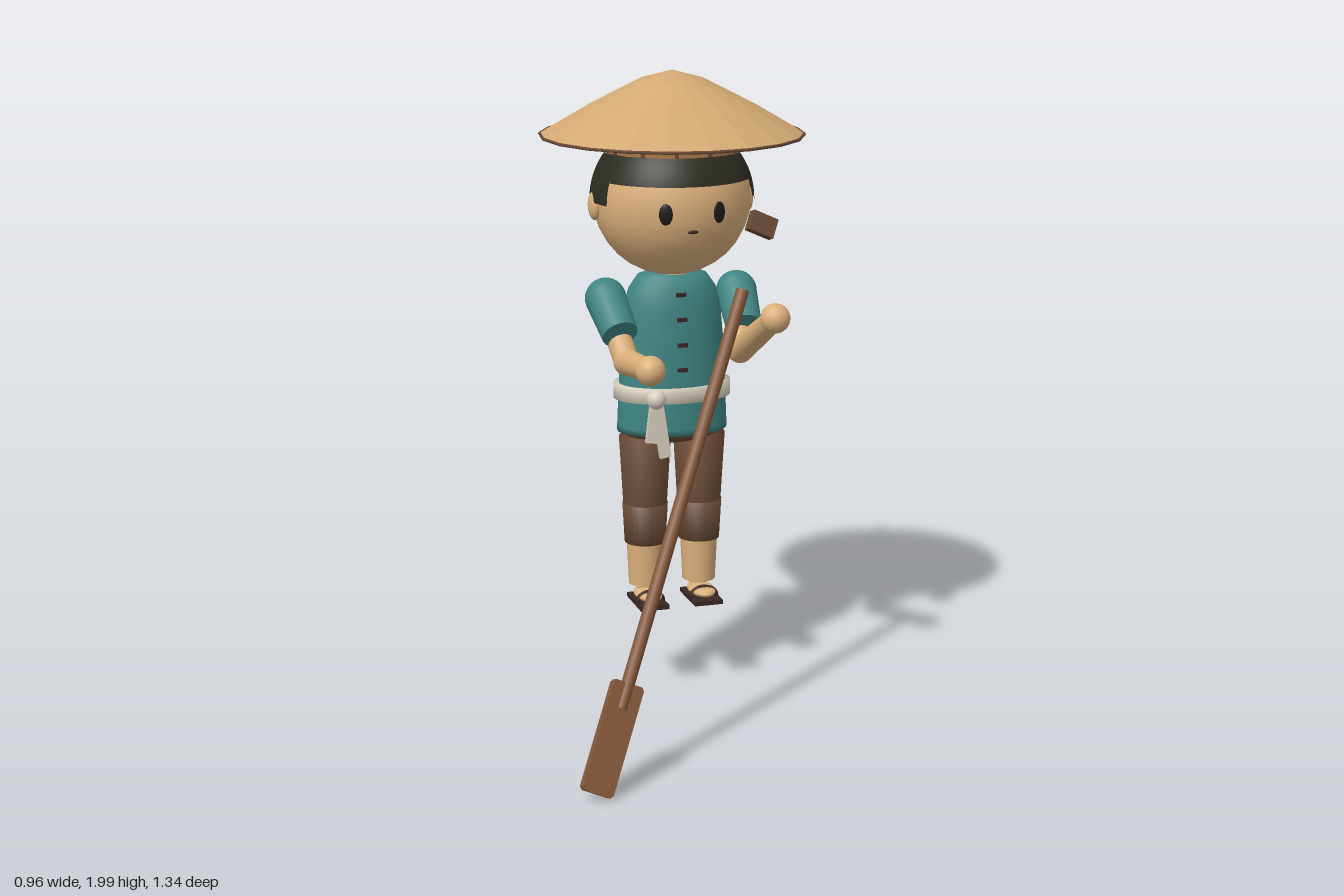
import * as THREE from 'three';

const V = (x, y, z) => new THREE.Vector3(x, y, z);

export function createModel() {
  const mat = (name, color, extra = {}) => {
    const m = new THREE.MeshStandardMaterial({ color, ...extra });
    m.name = name;
    return m;
  };
  const straw = mat('straw', 0xd2a873);
  const skin = mat('skin', 0xdcb07c);
  const teal = mat('tealCloth', 0x3f8583);
  const brown = mat('brownCloth', 0x6b4a36);
  const hairMat = mat('hair', 0x2c2b21, { side: THREE.DoubleSide });
  const cream = mat('creamSash', 0xd9d0bf);
  const wood = mat('wood', 0x85583a);
  const dark = mat('darkLeather', 0x3a2722);
  const bandMat = mat('hatBand', 0xa87848, { side: THREE.DoubleSide });
  const black = mat('black', 0x1c1a18);

  const model = new THREE.Group();
  // The figure stands off the origin; its parts use local x and z.
  const figure = new THREE.Group();
  figure.name = 'figure';
  figure.position.set(0.074, 0, -0.254);
  model.add(figure);

  const add = (name, geo, material, pos = [0, 0, 0], parent = figure) => {
    const m = new THREE.Mesh(geo, material);
    m.name = name;
    m.position.set(...pos);
    parent.add(m);
    return m;
  };
  const ball = (name, material, pos, rx, ry = rx, rz = rx) => {
    const m = add(name, new THREE.SphereGeometry(1, 24, 16), material, pos);
    m.scale.set(rx, ry, rz);
    return m;
  };
  const lathe = (pts, seg = 32) =>
    new THREE.LatheGeometry(pts.map(([r, y]) => new THREE.Vector2(r, y)), seg);
  const limb = (name, material, a, b, ra, rb) => {
    const d = b.clone().sub(a);
    const m = add(name, new THREE.CylinderGeometry(rb, ra, d.length(), 20), material,
      a.clone().add(b).multiplyScalar(0.5).toArray());
    m.quaternion.setFromUnitVectors(V(0, 1, 0), d.normalize());
    return m;
  };

  // Conical hat with faceted panels
  const hat = lathe([[0, 1.965], [0.27, 1.873], [0.405, 1.797], [0.414, 1.801],
    [0.275, 1.883], [0.1, 1.973], [0, 2]], 20).toNonIndexed();
  hat.computeVertexNormals();
  add('hat', hat, straw);
  const rim = add('hatRim', new THREE.TorusGeometry(0.411, 0.005, 6, 20), brown, [0, 1.801, 0]);
  rim.rotation.x = Math.PI / 2;
  add('hatBand', new THREE.CylinderGeometry(0.233, 0.233, 0.105, 28, 1, true), bandMat, [0, 1.81, 0]);
  for (let i = 0; i < 14; i++) {
    const a = (i + 0.5) / 14 * Math.PI * 2;
    const rib = add('hatBandRib', new THREE.BoxGeometry(0.012, 0.105, 0.01), brown,
      [Math.sin(a) * 0.233, 1.81, Math.cos(a) * 0.233]);
    rib.rotation.y = a;
  }

  // Head, ears and face
  const HY = 1.6;
  ball('head', skin, [0, HY, 0], 0.248, 0.24, 0.237);
  for (const s of [-1, 1]) {
    ball('ear', skin, [s * 0.247, 1.587, -0.01], 0.02, 0.046, 0.037);
    const eye = ball('eye', black, [s * 0.085, 1.587, 0.221], 0.021, 0.033, 0.007);
    eye.rotation.y = s * 0.35;
  }
  ball('mouth', dark, [0, 1.53, 0.226], 0.017, 0.006, 0.005);

  // Hair shell: phi start, phi length and lower edge angle in degrees
  for (const [p, l, t] of [[23, 134, 73.7], [157, 67, 90], [224, 92, 105], [316, 67, 90]]) {
    const k = Math.PI / 180;
    const h = add('hair', new THREE.SphereGeometry(1, 24, 20, p * k, l * k, 0, t * k), hairMat, [0, HY, 0]);
    h.scale.set(0.258, 0.25, 0.25);
  }

  // Tunic, neck and fastenings
  add('neck', new THREE.CylinderGeometry(0.065, 0.065, 0.08, 20), skin, [0, 1.37, 0]);
  const tunic = add('tunic', lathe([[0, 0.86], [0.178, 0.86], [0.178, 0.88], [0.173, 1],
    [0.166, 1.15], [0.156, 1.26], [0.14, 1.32], [0.112, 1.36], [0.07, 1.375], [0, 1.375]]), teal);
  tunic.scale.z = 0.69;
  [[1.31, 0.1], [1.233, 0.111], [1.153, 0.116], [1.074, 0.118]].forEach(([y, z]) =>
    add('toggle', new THREE.BoxGeometry(0.032, 0.012, 0.012), dark, [0, y, z]));

  // Sash with knot and hanging tails
  const sash = add('sash', lathe([[0.16, 0.968], [0.19, 0.968], [0.19, 1.016], [0.16, 1.016]]), cream);
  sash.scale.z = 0.69;
  ball('sashKnot', cream, [-0.096, 0.994, 0.152], 0.031);
  for (const [x, y, len, tilt] of [[-0.106, 0.915, 0.12, -0.12], [-0.08, 0.89, 0.17, 0.15]]) {
    const t = add('sashTail', new THREE.BoxGeometry(0.036, len, 0.018), cream, [x, y, 0.152]);
    t.rotation.z = tilt;
  }

  // Trousers, legs and sandals
  ball('trouserSeat', brown, [0, 0.868, 0], 0.168, 0.05, 0.113);
  for (const s of [-1, 1]) {
    const x = s * 0.09;
    add('trouserLeg', lathe([[0, 0.605], [0.06, 0.605], [0.07, 0.618], [0.083, 0.84], [0, 0.86]], 24), brown, [x, 0, 0]);
    add('trouserCuff', lathe([[0, 0.49], [0.066, 0.49], [0.073, 0.62], [0, 0.62]], 24), brown, [x, 0, 0]);
    add('shin', new THREE.CylinderGeometry(0.06, 0.053, 0.15, 20), skin, [x, 0.425, 0]);
    add('ankle', new THREE.CylinderGeometry(0.028, 0.028, 0.04, 16), skin, [x, 0.335, -0.005]);
    ball('foot', skin, [x, 0.32, 0.03], 0.043, 0.018, 0.076);
    add('sandalSole', new THREE.BoxGeometry(0.094, 0.014, 0.165), dark, [x, 0.297, 0.032]);
    const strap = add('sandalStrap', new THREE.TorusGeometry(0.043, 0.007, 6, 16, Math.PI), dark, [x, 0.304, 0.055]);
    strap.scale.set(1, 0.72, 2);
  }

  // Arms: side, elbow and hand
  const arms = [
    [1, V(0.185, 1.13, 0.13), V(0.207, 1.285, 0.4)],
    [-1, V(-0.185, 1.115, 0.13), V(-0.187, 1.148, 0.4)],
  ];
  for (const [s, elbow, hand] of arms) {
    const shoulder = V(s * 0.215, 1.292, -0.005);
    const cuff = V(s * 0.202, 1.2, 0.115);
    ball('shoulder', teal, shoulder.toArray(), 0.065);
    limb('sleeve', teal, shoulder, cuff, 0.065, 0.057);
    limb('upperArm', skin, shoulder, elbow, 0.04, 0.04);
    ball('elbow', skin, elbow.toArray(), 0.042);
    limb('forearm', skin, elbow, hand, 0.042, 0.034);
    ball('hand', skin, hand.toArray(), 0.046);
  }

  // Slanted paddle: local y runs up the shaft, local x across the blade
  const paddle = new THREE.Group();
  paddle.name = 'paddle';
  const up = V(0.453, 1, -0.39).normalize();
  const across = V(1, -0.453, 0).normalize();
  paddle.quaternion.setFromRotationMatrix(
    new THREE.Matrix4().makeBasis(across, up, across.clone().cross(up)));
  paddle.position.set(-0.427, 0.03, 0.653);
  model.add(paddle);
  const shape = new THREE.Shape([[-0.042, 0], [0.042, 0], [0.05, 0.01], [0.05, 0.323],
    [0.042, 0.333], [-0.042, 0.333], [-0.05, 0.323], [-0.05, 0.01]].map(p => new THREE.Vector2(...p)));
  add('paddleBlade', new THREE.ExtrudeGeometry(shape, { depth: 0.026, bevelEnabled: false }),
    wood, [0, 0, -0.013], paddle);
  add('paddleShaft', new THREE.CylinderGeometry(0.02, 0.02, 1.31, 10), wood, [0, 0.911, 0], paddle);
  add('paddleGrip', new THREE.BoxGeometry(0.085, 0.062, 0.032), brown, [0, 1.78, 0], paddle);

  return model;
}
